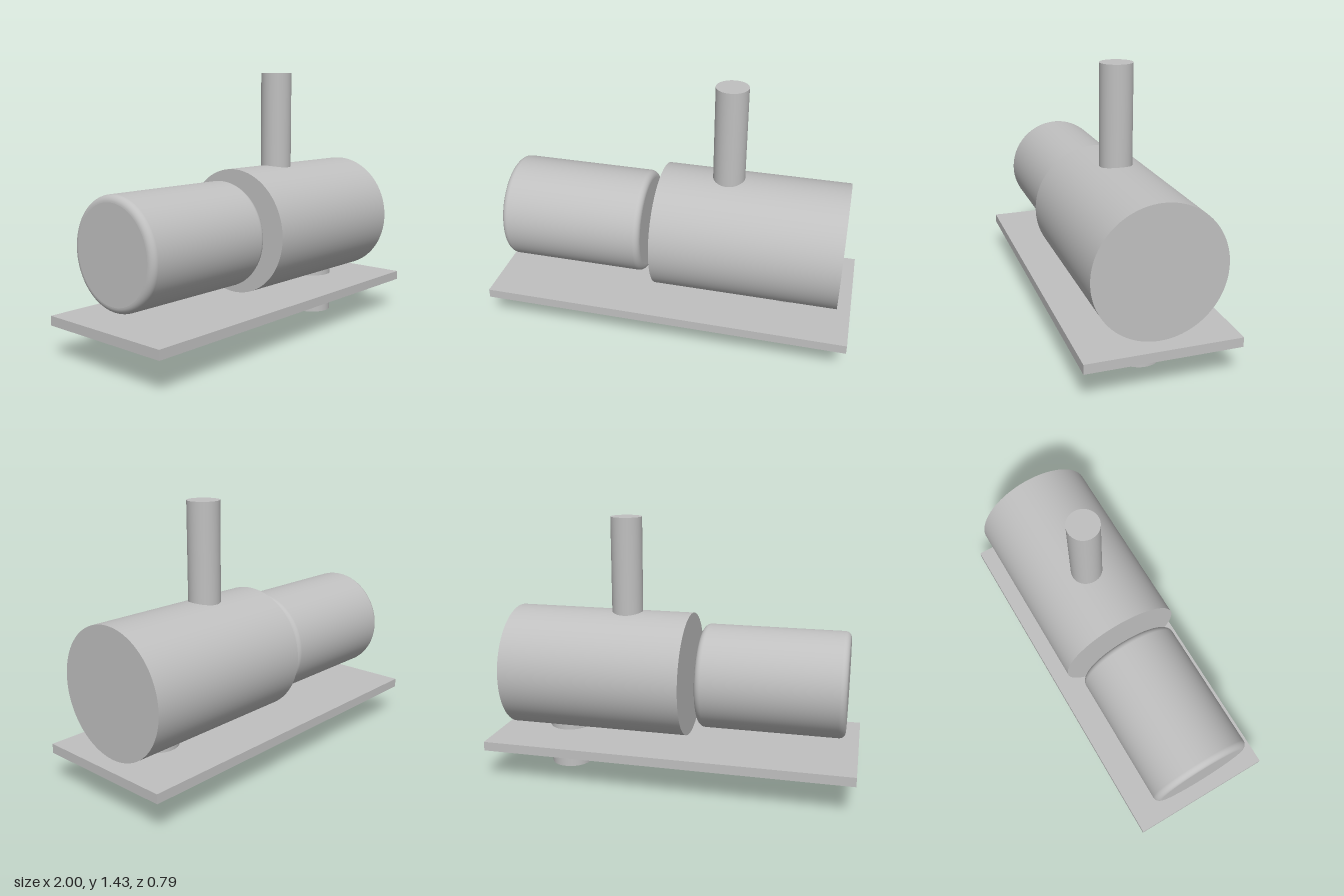
import * as THREE from 'three';

const AXIS_Y = 0.575; // shared height of the two horizontal drums

export function createModel() {
  const model = new THREE.Group();
  const grey = new THREE.MeshStandardMaterial({ color: 0xc0c0c0 });
  grey.name = 'plain grey';

  function add(name, geometry, x, y) {
    const mesh = new THREE.Mesh(geometry, grey);
    mesh.name = name;
    mesh.position.set(x, y, 0);
    model.add(mesh);
    return mesh;
  }

  // Upright pipe between two heights
  function pipe(name, radius, x, y0, y1) {
    add(name, new THREE.CylinderGeometry(radius, radius, y1 - y0, 64), x, (y0 + y1) / 2);
  }

  // Flat base plate
  add('basePlate', new THREE.BoxGeometry(2, 0.05, 0.79), 0, 0.2);

  // Large plain drum
  add('pumpBody', new THREE.CylinderGeometry(0.339, 0.339, 1, 96), 0.425, AXIS_Y).rotation.z = -Math.PI / 2;

  // Smaller drum with rounded rims, its side turned as a lathe profile
  const radius = 0.284, half = 0.392, round = 0.035, steps = 8;
  const profile = [];
  for (const end of [-1, 1]) {
    for (let i = 0; i <= steps; i++) {
      const a = (end < 0 ? i : steps - i) / steps * Math.PI / 2;
      profile.push(new THREE.Vector2(
        radius - round + round * Math.sin(a),
        end * (half - round + round * Math.cos(a))));
    }
  }
  const motor = new THREE.Group();
  motor.name = 'motor';
  motor.position.set(-0.537, AXIS_Y, 0);
  motor.rotation.z = -Math.PI / 2;
  const shell = new THREE.Mesh(new THREE.LatheGeometry(profile, 96), grey);
  shell.name = 'motorShell';
  motor.add(shell);
  for (const end of [-1, 1]) {
    const cap = new THREE.Mesh(new THREE.CircleGeometry(radius - round, 96), grey);
    cap.name = 'motorEndCap';
    cap.position.y = end * half;
    cap.rotation.x = -end * Math.PI / 2;
    motor.add(cap);
  }
  model.add(motor);

  // Outlet above the drum and inlet through the plate
  pipe('outletPipe', 0.085, 0.285, 0.85, 1.43);
  pipe('inletPipe', 0.113, 0.64, 0, 0.3);

  return model;
}
